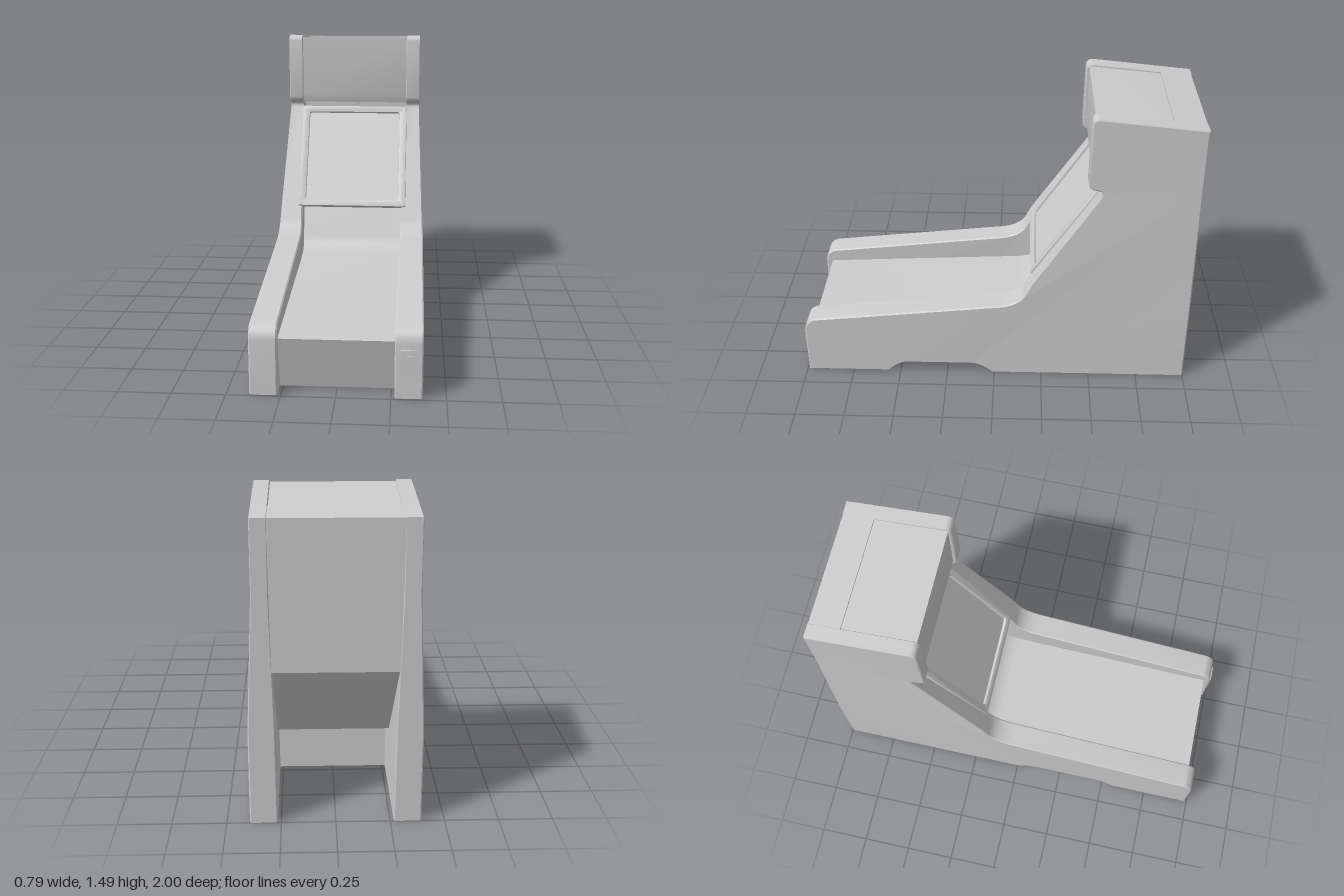
import * as THREE from 'three';
import { toCreasedNormals } from 'three/addons/utils/BufferGeometryUtils.js';

const grey = new THREE.MeshStandardMaterial({ color: 0xcccccc });
const lerp = THREE.MathUtils.lerp;

// half-widths of the cabinet, narrowing towards the top
const narrow = (y) => THREE.MathUtils.clamp((y - 0.45) / 0.65, 0, 1);
const outerX = (y) => lerp(0.394, 0.366, narrow(y));
const innerX = (y) => lerp(0.265, 0.29, THREE.MathUtils.clamp((y - 0.3) / 0.8, 0, 1));

function add(group, name, geometry, x = 0, y = 0, z = 0) {
  const mesh = new THREE.Mesh(geometry, grey);
  mesh.name = name;
  mesh.position.set(x, y, z);
  group.add(mesh);
  return mesh;
}

// extrudes a (z, y) profile over unit depth, then maps that depth to x by a rule
function profileSolid(shape, xRule, bevel = 0) {
  let geo = new THREE.ExtrudeGeometry(shape, {
    depth: 1 - 2 * bevel * 8, curveSegments: 8, bevelEnabled: bevel > 0,
    bevelSize: bevel, bevelOffset: -bevel, bevelThickness: bevel * 8, bevelSegments: 1,
  });
  geo.translate(0, 0, bevel * 8);
  geo.rotateY(-Math.PI / 2);
  const p = geo.attributes.position;
  for (let i = 0; i < p.count; i++) p.setX(i, xRule(-p.getX(i), p.getY(i)));
  return toCreasedNormals(geo, 0.45);
}

function sideShape() {
  const s = new THREE.Shape();
  s.moveTo(-1, 0);
  s.lineTo(0.01, 0);
  // foot arch
  s.quadraticCurveTo(0.07, 0.057, 0.13, 0.057);
  s.lineTo(0.46, 0.057);
  s.quadraticCurveTo(0.51, 0.057, 0.56, 0);
  // nose, arm rail and sweep up to the screen
  s.lineTo(0.99, 0);
  s.lineTo(0.99, 0.26);
  s.quadraticCurveTo(0.988, 0.312, 0.94, 0.33);
  s.lineTo(-0.03, 0.435);
  s.quadraticCurveTo(-0.12, 0.448, -0.155, 0.505);
  s.lineTo(-0.19, 0.575);
  s.lineTo(-0.517, 1.075);
  // notch under the overhanging head
  s.quadraticCurveTo(-0.53, 1.105, -0.495, 1.108);
  s.quadraticCurveTo(-0.453, 1.115, -0.452, 1.15);
  s.lineTo(-0.457, 1.45);
  s.quadraticCurveTo(-0.458, 1.488, -0.495, 1.486);
  s.lineTo(-1, 1.435);
  s.lineTo(-1, 1.1);
  s.lineTo(-1, 0.45);
  return s;
}

function bodyShape() {
  const s = new THREE.Shape();
  s.moveTo(-0.46, 0);
  s.lineTo(0.885, 0);
  s.lineTo(0.955, 0.26);
  // deck and its curved rise behind the screen
  s.lineTo(-0.13, 0.31);
  s.quadraticCurveTo(-0.22, 0.315, -0.255, 0.39);
  s.lineTo(-0.35, 0.6);
  s.lineTo(-0.6, 0.99);
  s.lineTo(-0.6, 1.11);
  // head
  s.lineTo(-0.485, 1.11);
  s.lineTo(-0.472, 1.155);
  s.lineTo(-0.472, 1.475);
  s.lineTo(-0.84, 1.44);
  s.lineTo(-0.84, 1.449);
  s.lineTo(-0.998, 1.433);
  // back panel tucking in above the rear opening
  s.lineTo(-0.998, 0.74);
  s.quadraticCurveTo(-0.97, 0.7, -0.63, 0.29);
  s.lineTo(-0.46, 0.29);
  return s;
}

function roundedRect(Type, w, h, r) {
  const s = new Type();
  const x = w / 2, y = h / 2;
  s.absarc(x - r, y - r, r, 0, Math.PI / 2);
  s.absarc(-x + r, y - r, r, Math.PI / 2, Math.PI);
  s.absarc(-x + r, -y + r, r, Math.PI, Math.PI * 1.5);
  s.absarc(x - r, -y + r, r, Math.PI * 1.5, Math.PI * 2);
  s.closePath();
  return s;
}

export function createModel() {
  const model = new THREE.Group();
  model.name = 'arcadeCabinet';

  // side panels
  add(model, 'leftSidePanel', profileSolid(sideShape(), (t, y) => lerp(outerX(y), innerX(y), t), 0.006));
  add(model, 'rightSidePanel', profileSolid(sideShape(), (t, y) => lerp(-innerX(y), -outerX(y), t), 0.006));

  // deck, head and back between the panels
  add(model, 'centreBody', profileSolid(bodyShape(), (t, y) => (1 - 2 * t) * (innerX(y) + 0.004)));

  // tilted screen with raised frame
  const screen = new THREE.Group();
  screen.name = 'screen';
  screen.position.set(0, 0.826, -0.354);
  screen.rotation.x = -0.579;
  const frame = roundedRect(THREE.Shape, 0.59, 0.6, 0.008);
  frame.holes.push(roundedRect(THREE.Path, 0.51, 0.525, 0.014));
  add(screen, 'screenFrame', toCreasedNormals(new THREE.ExtrudeGeometry(frame, {
    depth: 0.022, curveSegments: 4, bevelSize: 0.005, bevelOffset: -0.005, bevelThickness: 0.005, bevelSegments: 2,
  }), 0.5), 0, 0, -0.015);
  add(screen, 'screenGlass', new THREE.BoxGeometry(0.53, 0.55, 0.012), 0, 0, -0.01);
  add(screen, 'screenBacking', new THREE.BoxGeometry(0.53, 0.57, 0.03), 0, 0, -0.03);
  model.add(screen);

  // bracket in the gap above the screen
  add(model, 'screenBracket', new THREE.BoxGeometry(0.03, 0.1, 0.05), 0, 1.06, -0.58);

  // plate with slot on the left front post
  add(model, 'coinPlate', new THREE.BoxGeometry(0.075, 0.11, 0.012), 0.328, 0.18, 0.992);
  add(model, 'coinSlotTop', new THREE.BoxGeometry(0.035, 0.006, 0.003), 0.328, 0.205, 0.9985);
  add(model, 'coinSlot', new THREE.BoxGeometry(0.006, 0.045, 0.003), 0.3425, 0.182, 0.9985);

  return model;
}
